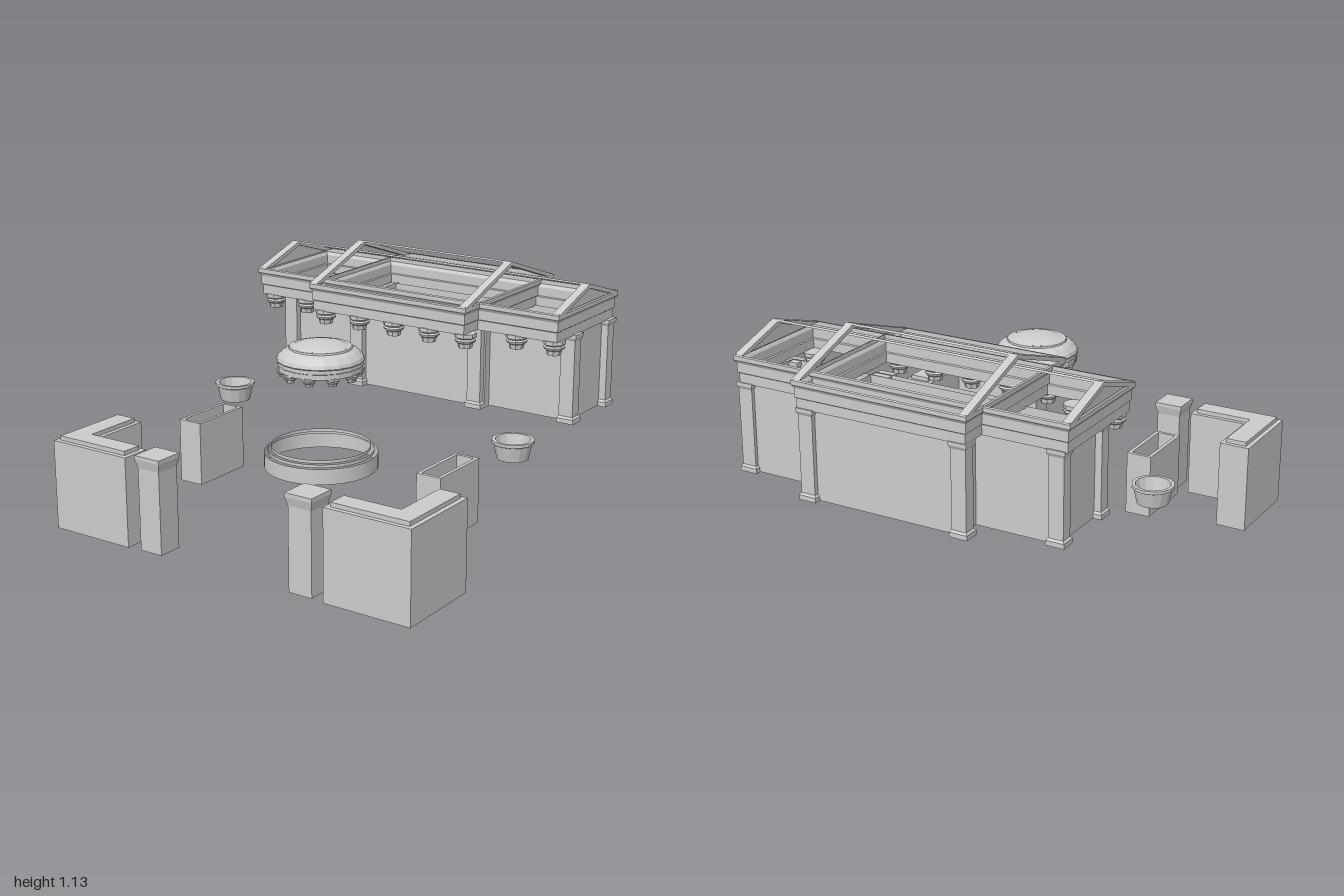
import * as THREE from 'three';

const mat = new THREE.MeshStandardMaterial({ color: 0xcccccc, flatShading: true, side: THREE.DoubleSide });
const smooth = new THREE.MeshStandardMaterial({ color: 0xcccccc, side: THREE.DoubleSide });

function add(parent, name, geo, x = 0, y = 0, z = 0, material = mat) {
  const m = new THREE.Mesh(geo, material);
  m.name = name;
  m.position.set(x, y, z);
  parent.add(m);
  return m;
}

// Moulded wall round a rectangle; profile is [inset, y] from bottom to top
function moulding(x0, x1, z0, z1, profile) {
  const pos = [];
  const rings = profile.map(([d, y]) => {
    const a = Math.min(d, (x1 - x0) / 2), b = Math.min(d, (z1 - z0) / 2);
    return [[x0 + a, y, z1 - b], [x1 - a, y, z1 - b], [x1 - a, y, z0 + b], [x0 + a, y, z0 + b]];
  });
  for (let i = 0; i < rings.length - 1; i++) {
    for (let k = 0; k < 4; k++) {
      const n = (k + 1) % 4, lo = rings[i], hi = rings[i + 1];
      pos.push(...lo[k], ...lo[n], ...hi[n], ...lo[k], ...hi[n], ...hi[k]);
    }
  }
  const g = new THREE.BufferGeometry();
  g.setAttribute('position', new THREE.Float32BufferAttribute(pos, 3));
  g.computeVertexNormals();
  return g;
}

function lathe(points, sides) {
  return new THREE.LatheGeometry(points.map(([r, y]) => new THREE.Vector2(r, y)), sides);
}

// Shape given as [z, y] points, extruded along x from x0 to x1
function extrudeX(points, x0, x1) {
  const s = new THREE.Shape(points.map(([z, y]) => new THREE.Vector2(-z, y)));
  const g = new THREE.ExtrudeGeometry(s, { depth: x1 - x0, bevelEnabled: false });
  g.rotateY(Math.PI / 2);
  g.translate(x0, 0, 0);
  return g;
}

// Plan shape given as [x, z] points, raised from y0 to y1
function extrudeY(points, y0, y1, hole) {
  const toV = p => new THREE.Vector2(p[0], -p[1]);
  const s = new THREE.Shape(points.map(toV));
  if (hole) s.holes.push(new THREE.Path(hole.map(toV)));
  const g = new THREE.ExtrudeGeometry(s, { depth: y1 - y0, bevelEnabled: false });
  g.rotateX(-Math.PI / 2);
  g.translate(0, y0, 0);
  return g;
}

const rect = (x0, x1, z0, z1) => [[x0, z0], [x1, z0], [x1, z1], [x0, z1]];

// Entablature ring, gable rakes and ridge of one open roof
function roof(parent, name, x0, x1, z0, z1, apex) {
  const g = new THREE.Group();
  g.name = name;
  add(g, 'entablature', moulding(x0, x1, z0, z1, [
    [0.016, 0.862], [0.016, 0.908], [0.01, 0.912], [0.01, 0.955], [0.004, 0.965], [0, 0.97], [0, 0.99], [0.006, 0.995],
  ]));
  const zm = (z0 + z1) / 2, t = 0.02, e = 0.99;
  const run = (z1 - z0) / 2, cut = t * run / (apex - e);
  const rake = [[z0, e], [zm, apex], [z1, e], [z1 - cut, e], [zm, apex - t], [z0 + cut, e]];
  for (const x of [x0, x1 - 0.04]) add(g, 'gableRake', extrudeX(rake, x, x + 0.04));
  const drop = 0.015 * (apex - e) / run;
  add(g, 'ridge', extrudeX([[zm - 0.015, apex - drop], [zm, apex], [zm + 0.015, apex - drop]], x0, x1));
  parent.add(g);
}

const capital = [[0, 0], [0.032, 0], [0.036, 0.022], [0.046, 0.028], [0.05, 0.038], [0.043, 0.045],
  [0.052, 0.052], [0.052, 0.07], [0, 0.07]];

function building() {
  const g = new THREE.Group();
  g.name = 'hall';
  roof(g, 'wingRoof', -0.78, 0.89, -0.87, -0.29, 1.08);
  roof(g, 'centralRoof', -0.383, 0.483, -1, -0.167, 1.13);

  // Wing pediment infill
  for (const x of [-0.765, 0.865])
    add(g, 'pediment', extrudeX([[-0.85, 0.985], [-0.58, 1.07], [-0.31, 0.985]], x, x + 0.01));

  // Thin walls
  add(g, 'wingWalls', moulding(-0.715, 0.85, -0.835, -0.495, [[0, 0.445], [0, 0.87]]));
  add(g, 'centralWalls', moulding(-0.325, 0.425, -0.96, -0.455, [[0, 0.445], [0, 0.87]]));

  // Pilasters at the corners
  const pier = [[1, 0.443], [0, 0.443], [0, 0.465], [0.008, 0.475], [0.008, 0.835], [0, 0.85], [0, 0.866], [1, 0.866]];
  const piers = [
    [-0.755, -0.53], [0.805, -0.53], [-0.755, -0.86], [0.805, -0.86],
    [-0.33, -0.49], [0.338, -0.49], [-0.375, -0.99], [0.385, -0.99],
  ];
  for (const [x, z] of piers) add(g, 'pilaster', moulding(x, x + 0.087, z, z + 0.075, pier));

  // Column capitals under the front entablature
  const spots = [-0.715, -0.525, 0.648, 0.84].map(x => [x, -0.348]);
  for (let i = 0; i < 5; i++) spots.push([-0.325 + i * 0.194, -0.225]);
  for (const [x, z] of spots) {
    const c = add(g, 'columnCapital', lathe(capital, 8), x, 0.795, z);
    c.rotation.y = Math.PI / 8;
  }
  return g;
}

function rotunda() {
  const g = new THREE.Group();
  g.name = 'rotunda';
  g.position.set(0.045, 0, 0.335);
  // Dome cap, sloping skirt and drum
  add(g, 'dome', lathe([[0.125, 0.868], [0.1, 0.879], [0.06, 0.888], [0, 0.892]], 24), 0, 0, 0, smooth);
  add(g, 'domeSkirt', lathe([[0.195, 0.81], [0.19, 0.825], [0.165, 0.848], [0.142, 0.86], [0.14, 0.868], [0.125, 0.868]], 18));
  add(g, 'drum', lathe([[0.16, 0.762], [0.188, 0.762], [0.188, 0.785], [0.193, 0.788], [0.193, 0.805], [0.197, 0.81], [0.195, 0.815]], 18));
  add(g, 'drumInside', lathe([[0.16, 0.762], [0.16, 0.81]], 18));
  for (let i = 0; i < 10; i++) {
    const a = (i + 0.5) / 10 * Math.PI * 2;
    const c = add(g, 'rotundaCapital', lathe(capital, 8), Math.sin(a) * 0.165, 0.728, Math.cos(a) * 0.165);
    c.scale.set(0.58, 0.52, 0.58);
  }
  // Stepped base: upright risers only
  for (const [r, y0, y1] of [[0.257, 0.308, 0.38], [0.24, 0.38, 0.395], [0.224, 0.395, 0.41]])
    add(g, 'baseStep', lathe([[r, y0], [r, y1]], 32), 0, 0, 0, smooth);
  return g;
}

// Corner block and gate pier, on one side (s = 1 or -1)
function frontage(s) {
  const g = new THREE.Group();
  g.name = s > 0 ? 'leftFrontage' : 'rightFrontage';
  const ell = d => {
    const p = [[0.53 + d, 0.86 + d], [0.53 + d, 1 - d], [0.955 - d, 1 - d], [0.955 - d, 0.575 + d], [0.81 + d, 0.575 + d], [0.81 + d, 0.86 + d]];
    return p.map(([x, z]) => [x * s, z]);
  };
  add(g, 'cornerBlock', extrudeY(ell(0), 0, 0.42));
  add(g, 'cornerBlockCap', extrudeY(ell(0.022), 0.42, 0.44));
  const xs = [0.337 * s, 0.475 * s].sort((a, b) => a - b);
  add(g, 'gatePier', moulding(xs[0], xs[1], 0.86, 1, [[0.01, 0], [0.01, 0.385], [0, 0.425], [0, 0.443], [1, 0.443]]));
  return g;
}

export function createModel() {
  const model = new THREE.Group();
  model.name = 'templeCourt';
  model.add(building(), rotunda(), frontage(1), frontage(-1));

  // Open rectangular planters
  for (const x of [-0.635, 0.66])
    add(model, 'planter', extrudeY(rect(x, x + 0.12, 0.19, 0.505), 0.15, 0.447,
      rect(x + 0.017, x + 0.103, 0.207, 0.488)));

  // Tapered round pots
  const pot = [[0.06, 0.368], [0.072, 0.368], [0.088, 0.438], [0.096, 0.442], [0.096, 0.456], [0.08, 0.456], [0.06, 0.368]];
  for (const x of [-0.785, 0.785]) add(model, 'pot', lathe(pot, 14), x, 0, -0.095);
  return model;
}
